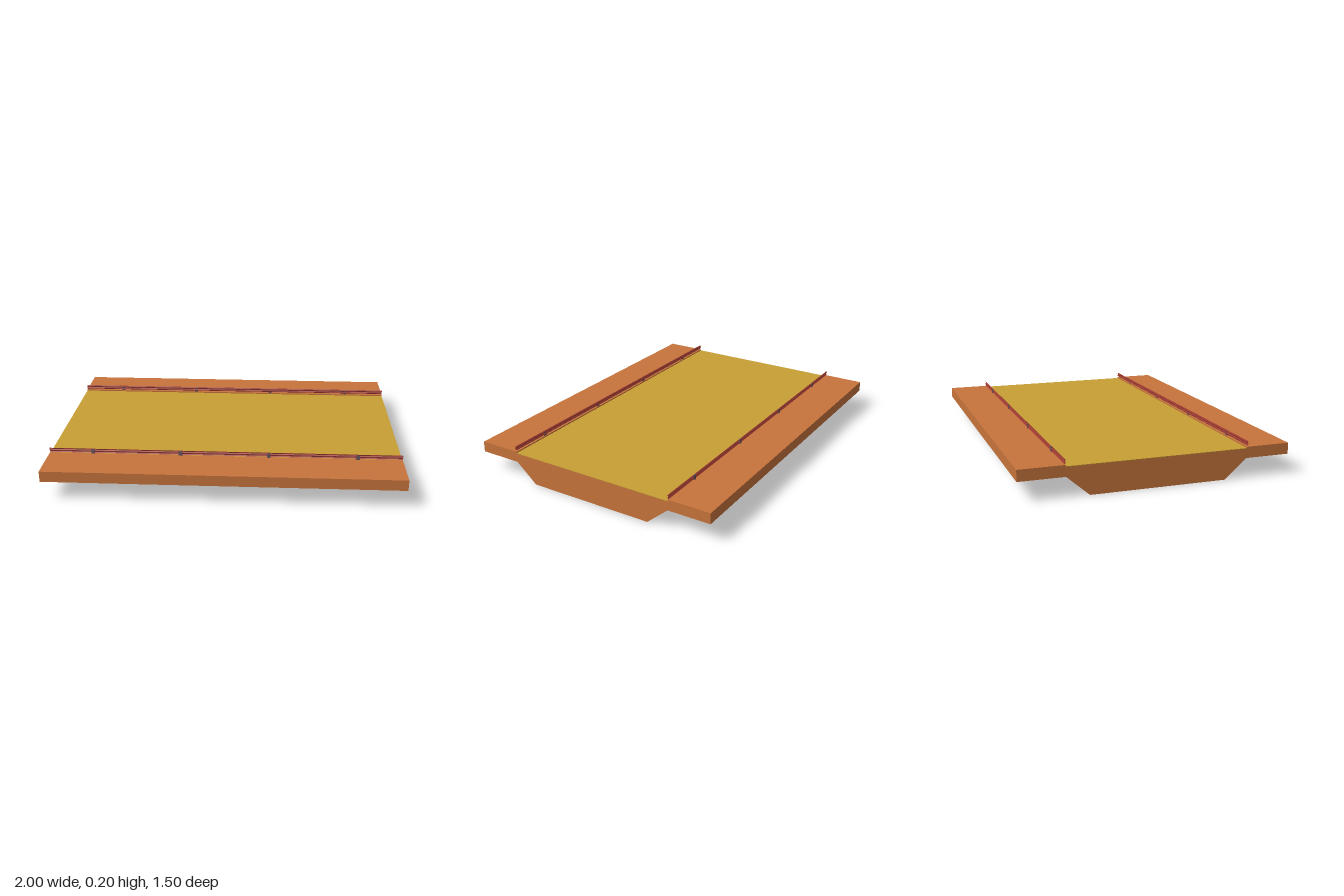
import * as THREE from 'three';

const LENGTH = 2;

function material(color) {
  return new THREE.MeshStandardMaterial({ color, flatShading: true });
}

// Extrudes a [z, y] cross-section along the full length of x.
function alongX(points) {
  const shape = new THREE.Shape(points.map(([z, y]) => new THREE.Vector2(-z, y)));
  const geometry = new THREE.ExtrudeGeometry(shape, { depth: LENGTH, bevelEnabled: false });
  geometry.translate(0, 0, -LENGTH / 2);
  return geometry.rotateY(Math.PI / 2);
}

function addPart(parent, name, geometry, mat) {
  const mesh = new THREE.Mesh(geometry, mat);
  mesh.name = name;
  parent.add(mesh);
  return mesh;
}

export function createModel() {
  const model = new THREE.Group();
  model.name = 'bridgeSection';
  const concrete = material(0xc8743c);
  const asphalt = material(0xc89f35);
  const railRed = material(0x9c3a30);
  const steel = material(0x6a5560);

  // Deck with raised side walks, recessed roadway and tapered girder below
  const half = [[0.5, 0.16], [0.5, 0.17], [0.75, 0.17], [0.75, 0.108], [0.5, 0.108], [0.375, 0]];
  const mirrored = half.map(([z, y]) => [-z, y]).reverse();
  addPart(model, 'deck', alongX([...half, ...mirrored]), concrete);

  // Road surface
  const road = addPart(model, 'roadSurface', new THREE.BoxGeometry(LENGTH, 0.003, 1), asphalt);
  road.position.y = 0.1615;

  // Guard rails: a corrugated beam on short posts, one on each side
  const wave = [[0.506, 0.176], [0.501, 0.18], [0.501, 0.183], [0.506, 0.187],
    [0.506, 0.189], [0.501, 0.193], [0.501, 0.196], [0.506, 0.2]];
  const back = wave.map(([z, y]) => [z + 0.003, y]).reverse();
  for (const side of [1, -1]) {
    const rail = new THREE.Group();
    rail.name = side > 0 ? 'frontGuardRail' : 'backGuardRail';
    const profile = [...wave, ...back].map(([z, y]) => [side * z, y]);
    addPart(rail, 'railBeam', alongX(profile), railRed);
    for (const x of [-0.75, -0.25, 0.25, 0.75]) {
      const post = addPart(rail, 'railPost', new THREE.BoxGeometry(0.02, 0.028, 0.005), steel);
      post.position.set(x, 0.182, side * 0.507);
    }
    model.add(rail);
  }
  return model;
}
